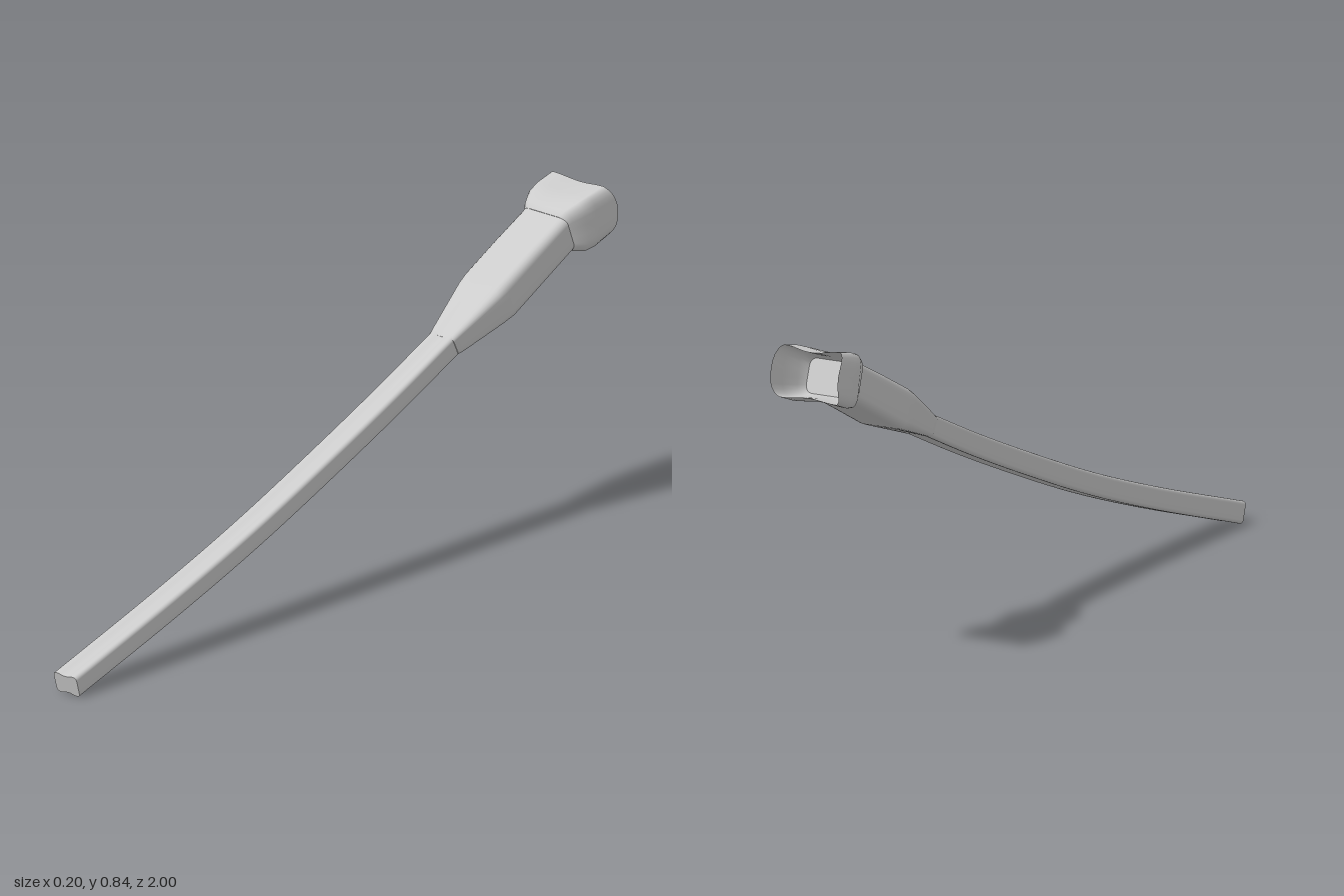
import * as THREE from 'three';

const material = new THREE.MeshStandardMaterial({ color: 0xcccccc, side: THREE.DoubleSide });

// Counter-clockwise rounded outline: x in units, t from -1 (bottom) to 1 (top).
// rx, rt are the corner sizes; dish hollows the middle of the top and bottom.
function outline(w, rx, rt, dish) {
  const pts = [];
  const corners = [[1, -1, -Math.PI / 2], [1, 1, 0], [-1, 1, Math.PI / 2], [-1, -1, Math.PI]];
  corners.forEach(([sx, st, start]) => {
    for (let k = 0; k <= 4; k++) {
      const a = start + (k / 4) * Math.PI / 2;
      pts.push([sx * (w - rx) + rx * Math.cos(a), st * (1 - rt) + rt * Math.sin(a)]);
    }
    // hollowed top or bottom edge, after the corner that leads into it
    if (sx === st) {
      for (let k = 1; k < 8; k++) {
        const u = 1 - k / 4;
        pts.push([sx * u * (w - rx), st * (1 - dish * Math.cos(u * Math.PI / 2) ** 2)]);
      }
    } else {
      for (const u of [-0.4, 0.4]) if (sx > 0) pts.push([w, u * (1 - rt)]);
      if (sx < 0 && st > 0) for (const u of [0.4, -0.4]) pts.push([-w, u * (1 - rt)]);
    }
  });
  return pts;
}

// Each section: top and bottom as [z, y], half width w, corner sizes, dish, bow (rearward bulge).
function loft(name, sections, capStart, capEnd) {
  const pos = [], idx = [];
  const rings = sections.map(({ top, bottom, w, rx = 0.012, rt = 0.35, dish = 0, bow = 0 }) =>
    outline(w, rx, rt, dish).map(([x, t]) => {
      const f = (t + 1) / 2;
      return [x, bottom[1] + (top[1] - bottom[1]) * f,
        bottom[0] + (top[0] - bottom[0]) * f - bow * (1 - t * t)];
    }));
  const n = rings[0].length;
  rings.forEach((r) => r.forEach((p) => pos.push(...p)));
  for (let i = 0; i < rings.length - 1; i++) {
    for (let j = 0; j < n; j++) {
      const a = i * n + j, b = i * n + (j + 1) % n, d = a + n, c = b + n;
      idx.push(a, d, b, b, d, c);
    }
  }
  const cap = (ring, flip) => {
    const base = pos.length / 3;
    const mid = [0, 1, 2].map((k) => ring.reduce((s, p) => s + p[k], 0) / n);
    pos.push(...mid);
    ring.forEach((p) => pos.push(...p));
    for (let j = 0; j < n; j++) {
      const a = base + 1 + j, b = base + 1 + (j + 1) % n;
      idx.push(base, flip ? b : a, flip ? a : b);
    }
  };
  if (capStart) cap(rings[0], false);
  if (capEnd) cap(rings[rings.length - 1], true);
  const geo = new THREE.BufferGeometry();
  geo.setAttribute('position', new THREE.Float32BufferAttribute(pos, 3));
  geo.setIndex(idx);
  geo.computeVertexNormals();
  const mesh = new THREE.Mesh(geo, material);
  mesh.name = name;
  return mesh;
}

export function createModel() {
  const group = new THREE.Group();
  group.name = 'curvedHandle';

  // Long, gently curved bar
  const path = new THREE.CatmullRomCurve3(
    [[0.992, 0.032], [0.6, 0.146], [0.3, 0.243], [0, 0.355], [-0.25, 0.455], [-0.47, 0.55]]
      .map(([z, y]) => new THREE.Vector3(0, y, z)));
  const h = 0.029, barSections = [];
  for (let i = 0; i <= 24; i++) {
    const p = path.getPointAt(i / 24), t = path.getTangentAt(i / 24);
    const nz = t.y * h, ny = -t.z * h;
    barSections.push({
      top: [p.z + nz, p.y + ny], bottom: [p.z - nz, p.y - ny],
      w: 0.038, rx: 0.01, rt: 0.34, dish: 0.16,
    });
  }
  group.add(loft('bar', barSections, true, true));

  // Flared sleeve around the upper end of the bar
  group.add(loft('sleeve', [
    { top: [-0.438, 0.566], bottom: [-0.462, 0.517], w: 0.04, rx: 0.011, rt: 0.35, dish: 0.08 },
    { top: [-0.455, 0.577], bottom: [-0.475, 0.52], w: 0.044, rx: 0.013, rt: 0.35, dish: 0.04 },
    { top: [-0.58, 0.658], bottom: [-0.61, 0.564], w: 0.07, rx: 0.02, rt: 0.42 },
    { top: [-0.61, 0.675], bottom: [-0.645, 0.576], w: 0.073, rx: 0.02, rt: 0.42 },
    { top: [-0.72, 0.73], bottom: [-0.755, 0.632], w: 0.073, rx: 0.02, rt: 0.42 },
    { top: [-0.845, 0.79], bottom: [-0.877, 0.693], w: 0.072, rx: 0.02, rt: 0.42 },
  ], true, true));

  // Hollow socket: outer wall, then inner wall and floor
  const rim = { top: [-0.962, 0.84], bottom: [-0.982, 0.708], rx: 0.018, rt: 0.55, dish: 0.14, bow: 0.028 };
  group.add(loft('socketOuter', [
    { top: [-0.832, 0.785], bottom: [-0.87, 0.69], w: 0.07, rx: 0.02, rt: 0.45 },
    { top: [-0.842, 0.8], bottom: [-0.876, 0.685], w: 0.079, rx: 0.02, rt: 0.48, dish: 0.03 },
    { top: [-0.872, 0.817], bottom: [-0.897, 0.683], w: 0.094, rx: 0.02, rt: 0.5, dish: 0.07, bow: 0.006 },
    { top: [-0.905, 0.828], bottom: [-0.925, 0.688], w: 0.098, rx: 0.018, rt: 0.52, dish: 0.1, bow: 0.014 },
    { ...rim, w: 0.1 },
  ], true, false));
  group.add(loft('socketInner', [
    { ...rim, w: 0.1 },
    { top: [-0.93, 0.826], bottom: [-0.95, 0.702], w: 0.092, rx: 0.018, rt: 0.52, dish: 0.12, bow: 0.014 },
    { top: [-0.89, 0.808], bottom: [-0.912, 0.7], w: 0.08, rx: 0.02, rt: 0.48, dish: 0.06 },
    { top: [-0.865, 0.79], bottom: [-0.892, 0.704], w: 0.066, rx: 0.02, rt: 0.45 },
  ], false, true));

  return group;
}
